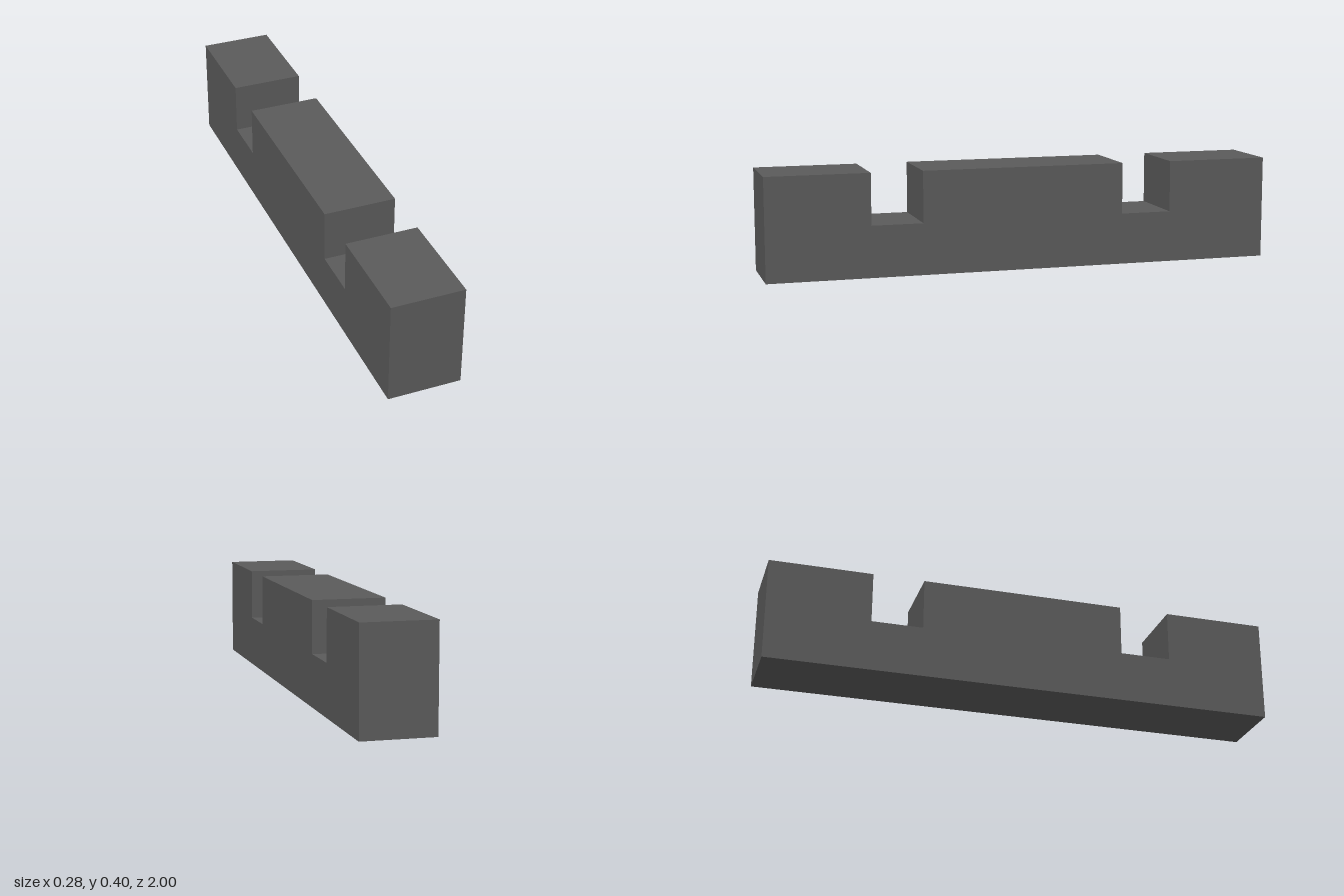
import * as THREE from 'three';

const WIDTH = 0.28, HEIGHT = 0.4, NOTCH_FLOOR = 0.2;
const NOTCH_INNER = 0.4, NOTCH_OUTER = 0.6, HALF_LENGTH = 1;

export function createModel() {
  const model = new THREE.Group();
  model.name = 'notchedBeam';

  const darkGrey = new THREE.MeshStandardMaterial({ color: 0x5a5a5a });
  darkGrey.name = 'darkGrey';

  // Top edge of one half, from the middle block out to the end
  const half = [
    [NOTCH_INNER, HEIGHT], [NOTCH_INNER, NOTCH_FLOOR],
    [NOTCH_OUTER, NOTCH_FLOOR], [NOTCH_OUTER, HEIGHT],
    [HALF_LENGTH, HEIGHT], [HALF_LENGTH, 0],
  ];
  const mirrored = half.map(([z, y]) => [-z, y]).reverse();
  const profile = new THREE.Shape([...mirrored, ...half].map(([z, y]) => new THREE.Vector2(z, y)));

  // Side profile with two notches, extruded across the width
  const geometry = new THREE.ExtrudeGeometry(profile, { depth: WIDTH, bevelEnabled: false });
  geometry.translate(0, 0, -WIDTH / 2);
  geometry.rotateY(-Math.PI / 2);

  const beam = new THREE.Mesh(geometry, darkGrey);
  beam.name = 'beam';
  model.add(beam);
  return model;
}
